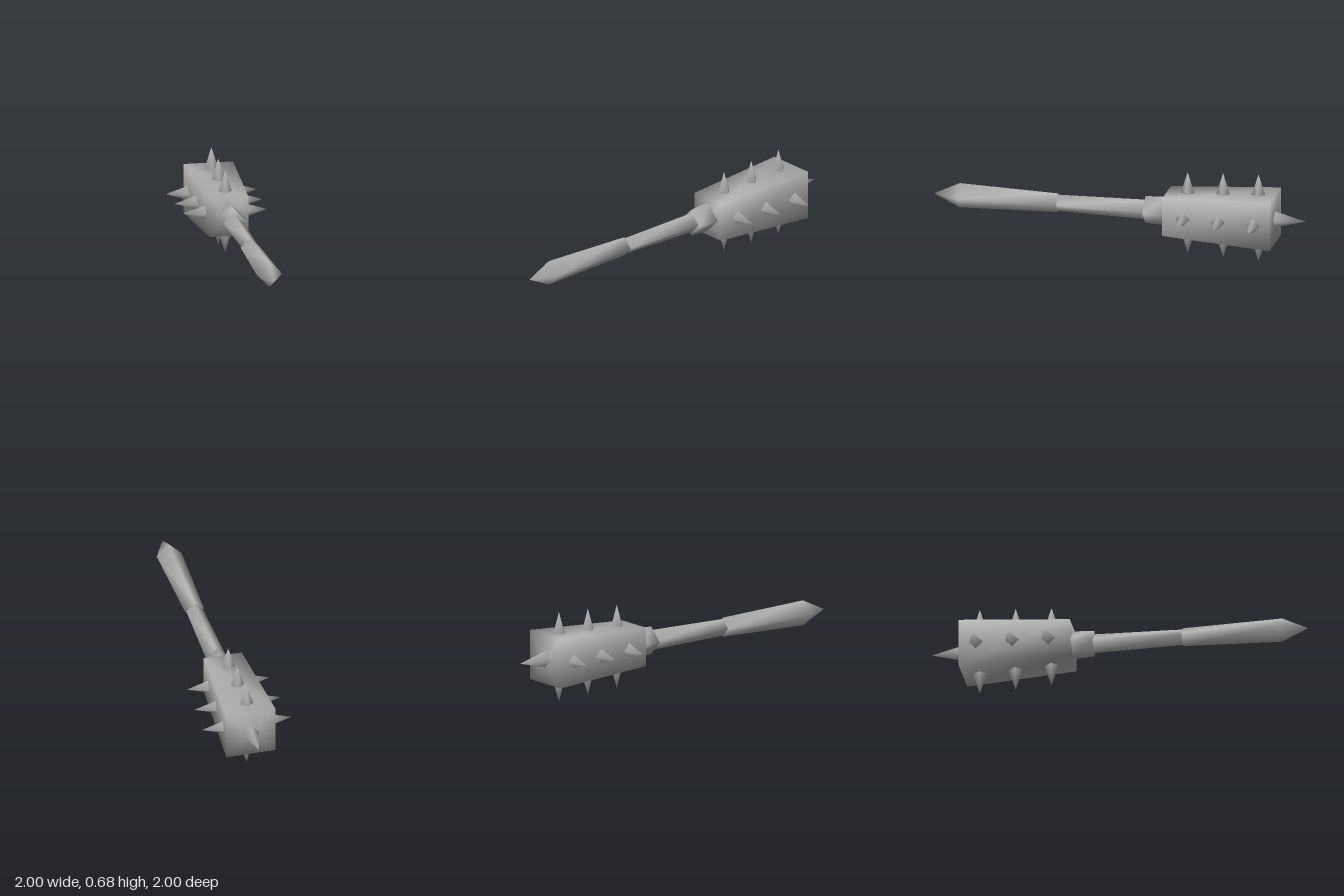
import * as THREE from 'three';
import { mergeVertices } from 'three/addons/utils/BufferGeometryUtils.js';

const metal = new THREE.MeshStandardMaterial({ color: 0xb4b4b4 });
metal.name = 'grey metal';

// Four-sided solid along +y from [radius, height] points, bottom to top, with shared smooth corners
function foursided(profile, turn = 0) {
  const points = profile.map(([r, h]) => new THREE.Vector2(r, h));
  const geometry = new THREE.LatheGeometry(points, 4, turn);
  geometry.deleteAttribute('normal');
  geometry.deleteAttribute('uv');
  const welded = mergeVertices(geometry, 1e-4);
  welded.computeVertexNormals();
  return welded;
}

function addPart(parent, name, geometry) {
  const mesh = new THREE.Mesh(geometry, metal);
  mesh.name = name;
  parent.add(mesh);
  return mesh;
}

export function createModel() {
  const model = new THREE.Group();
  model.name = 'spikedMace';

  // The mace is built along local y, with local z becoming world up
  const mace = new THREE.Group();
  mace.name = 'mace';
  const a = Math.SQRT1_2;
  mace.quaternion.setFromRotationMatrix(new THREE.Matrix4().makeBasis(
    new THREE.Vector3(a, 0, -a), new THREE.Vector3(-a, 0, -a), new THREE.Vector3(0, 1, 0)));
  mace.position.y = 0.353;
  model.add(mace);

  // Handle: pointed grip, slim shaft and collar
  addPart(mace, 'grip', foursided([[0, -1.41], [0.095, -1.215], [0.073, -0.47], [0, -0.47]]));
  addPart(mace, 'shaft', foursided([[0, -0.5], [0.063, -0.5], [0.077, 0.22], [0, 0.22]]));
  addPart(mace, 'collar', foursided([[0, 0.195], [0.104, 0.195], [0.114, 0.37], [0, 0.37]]));

  // Square head, widening towards its far end
  const near = { s: 0.354, half: 0.146 }, far = { s: 1.18, half: 0.187 };
  const d = Math.SQRT2;
  addPart(mace, 'head', foursided(
    [[0, near.s], [near.half * d, near.s], [far.half * d, far.s], [0, far.s]], Math.PI / 4));

  // Three spikes along each of the four sides
  const spikes = new THREE.Group();
  spikes.name = 'spikes';
  mace.add(spikes);
  [[1.054, 0.342], [0.785, 0.33], [0.516, 0.316]].forEach(([s, tip]) => {
    const k = (s - near.s) / (far.s - near.s);
    const base = near.half + (far.half - near.half) * k - 0.006;
    const geometry = foursided([[0, base], [0.054, base], [0, tip]]);
    for (let i = 0; i < 4; i++) {
      const pivot = new THREE.Group();
      pivot.name = 'sideSpikePivot';
      pivot.position.y = s;
      pivot.rotation.y = i * Math.PI / 2;
      spikes.add(pivot);
      addPart(pivot, 'sideSpike', geometry).rotation.x = Math.PI / 2;
    }
  });

  // Longer spike on the end of the head
  addPart(spikes, 'endSpike', foursided([[0, 1.17], [0.065, 1.17], [0, 1.414]]));
  return model;
}
